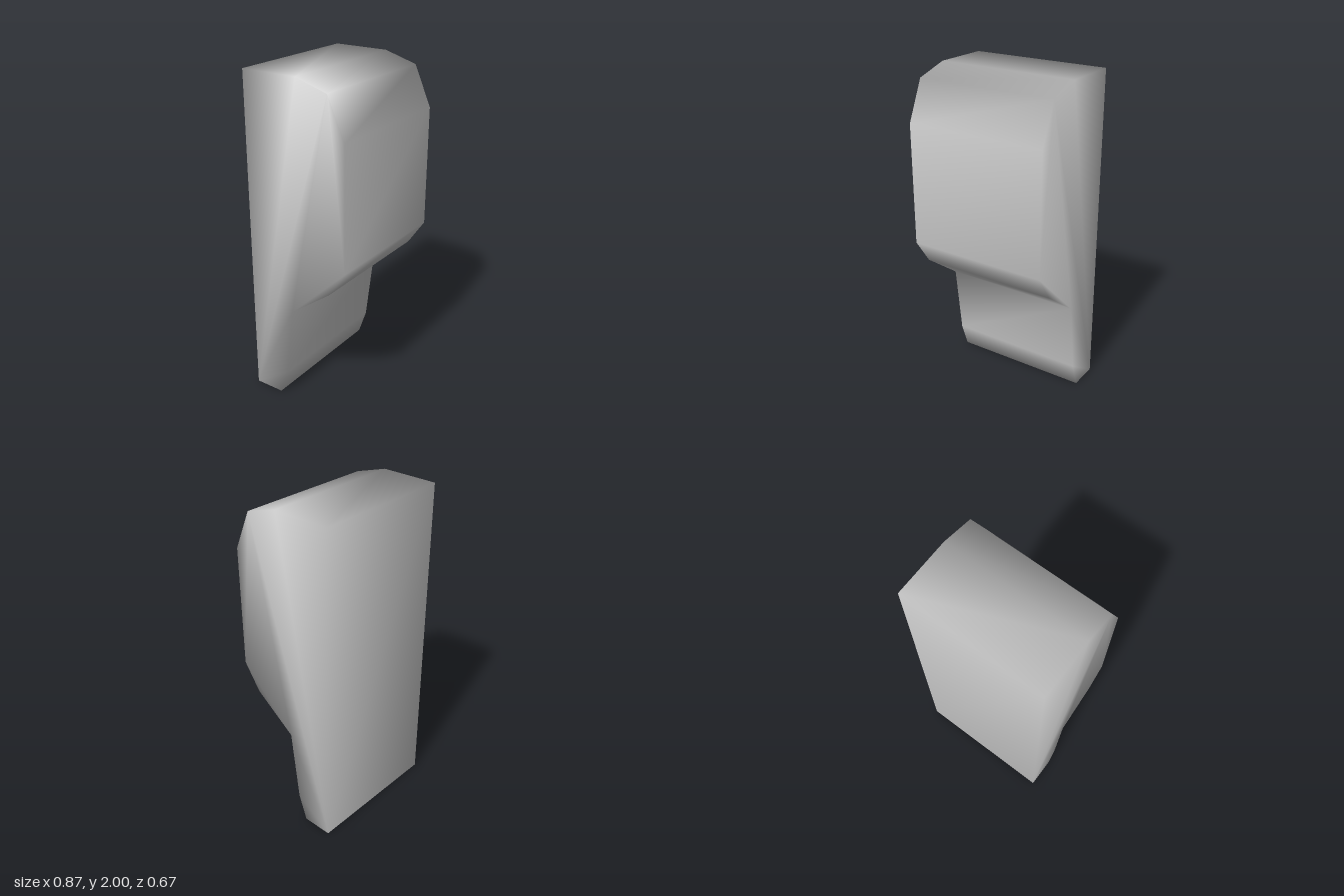
import * as THREE from 'three';
import { mergeVertices } from 'three/addons/utils/BufferGeometryUtils.js';

export function createModel() {
  const group = new THREE.Group();
  group.name = 'steppedBlock';
  const grey = new THREE.MeshStandardMaterial({ color: 0xcccccc });
  grey.name = 'light grey';

  // Side profile as (z, y): flat back, bulging upper front, recessed foot
  const profile = [
    [-0.333, 0], [-0.147, 0], [-0.092, 0.16], [-0.038, 0.605], [0.225, 0.8],
    [0.333, 0.96], [0.333, 1.7], [0.225, 1.94], [0.02, 2], [-0.333, 2],
  ].map(([z, y]) => new THREE.Vector2(z, y));

  // Sweep the profile across the width
  const width = 0.874;
  let geometry = new THREE.ExtrudeGeometry(new THREE.Shape(profile), {
    depth: width, steps: 1, bevelEnabled: false,
  });
  geometry.translate(0, 0, -width / 2);
  geometry.rotateY(-Math.PI / 2);

  // Share all corners so shading blends smoothly over the edges
  geometry.deleteAttribute('normal');
  geometry.deleteAttribute('uv');
  geometry.clearGroups();
  geometry = mergeVertices(geometry, 1e-4);
  geometry.computeVertexNormals();

  const body = new THREE.Mesh(geometry, grey);
  body.name = 'body';
  group.add(body);
  return group;
}
